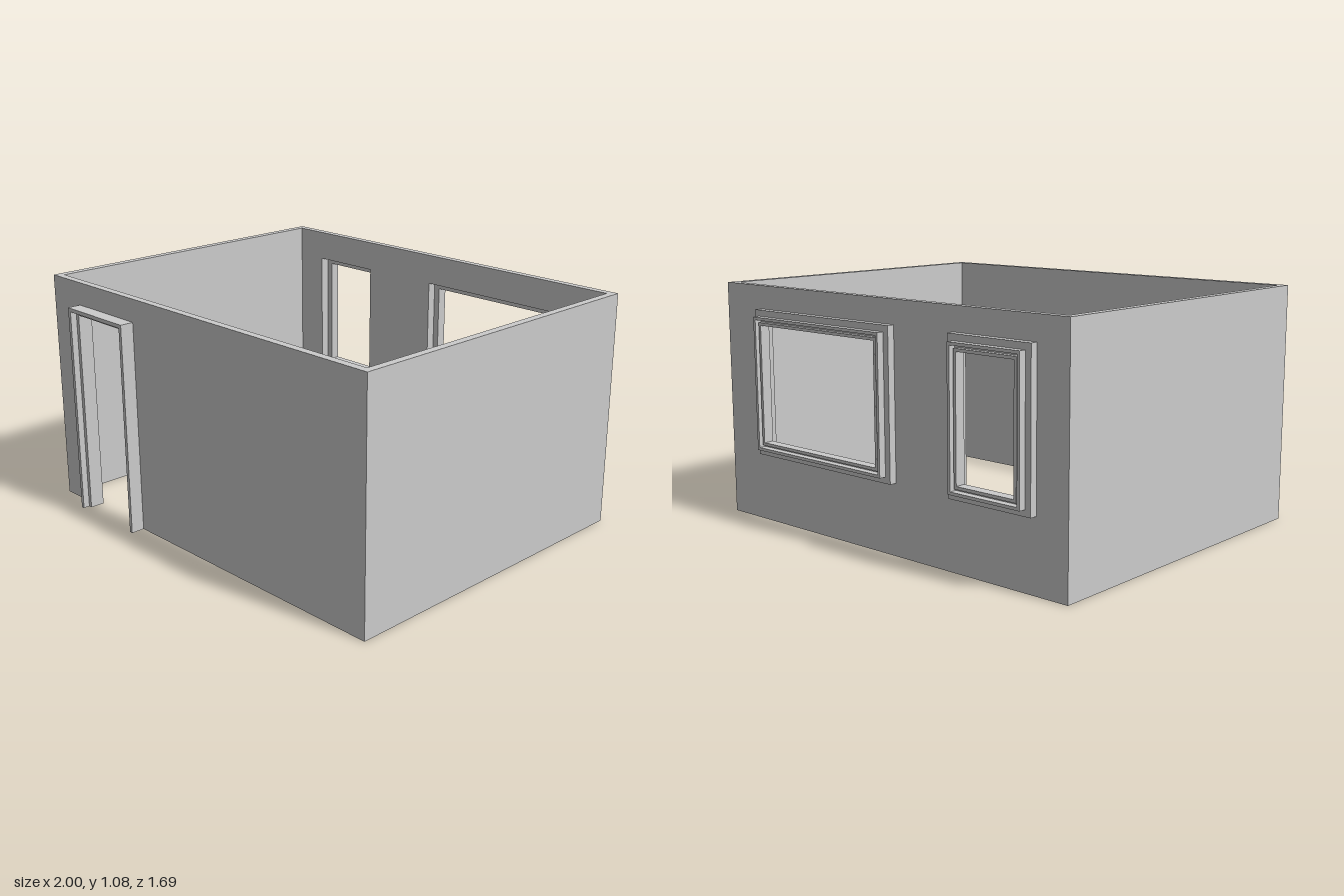
import * as THREE from 'three';

const material = new THREE.MeshStandardMaterial({ color: 0xcccccc, flatShading: true });
const H = 1.08;   // wall height
const T = 0.035;  // wall thickness
const D = 0.782;  // half depth of the room

// Path around a rectangle [x0, x1, y0, y1]
function trace(path, [x0, x1, y0, y1]) {
  path.moveTo(x0, y0);
  path.lineTo(x1, y0);
  path.lineTo(x1, y1);
  path.lineTo(x0, y1);
  path.closePath();
  return path;
}

// Rectangle shrunk by d on all sides
const inset = ([x0, x1, y0, y1], d) => [x0 + d, x1 - d, y0 + d, y1 - d];

// Extrudes a shape between two z planes
function slab(name, shape, z0, z1) {
  const geometry = new THREE.ExtrudeGeometry(shape, { depth: z1 - z0, bevelEnabled: false });
  geometry.translate(0, 0, z0);
  const mesh = new THREE.Mesh(geometry, material);
  mesh.name = name;
  return mesh;
}

// Rectangular ring, set between two insets of an outline
function ring(name, rect, d0, d1, z0, z1) {
  const shape = trace(new THREE.Shape(), inset(rect, d0));
  shape.holes.push(trace(new THREE.Path(), inset(rect, d1)));
  return slab(name, shape, z0, z1);
}

// Portal with open bottom: two posts and a lintel of width w
function portal(name, [x0, x1, top], w, z0, z1) {
  const points = [
    [x0, 0], [x0 + w, 0], [x0 + w, top - w], [x1 - w, top - w],
    [x1 - w, 0], [x1, 0], [x1, top], [x0, top],
  ].map(([x, y]) => new THREE.Vector2(x, y));
  return slab(name, new THREE.Shape(points), z0, z1);
}

// Stepped window surround standing proud of the back wall
function windowFrame(name, rect) {
  const group = new THREE.Group();
  group.name = name;
  group.add(
    ring('outerCasing', rect, 0, 0.035, -D - 0.033, -D),
    ring('sashPlate', rect, 0.034, 0.065, -D - 0.033, -D - 0.008),
    ring('raisedRim', rect, 0.028, 0.041, -D - 0.065, -D - 0.033),
    ring('innerLip', rect, 0.052, 0.065, -D - 0.055, -D - 0.033),
  );
  return group;
}

export function createModel() {
  const model = new THREE.Group();
  model.name = 'room';

  // Side walls
  for (const side of [1, -1]) {
    const wall = new THREE.Mesh(new THREE.BoxGeometry(T, H, 2 * (D - T)), material);
    wall.position.set(side * (1 - T / 2), H / 2, 0);
    wall.name = side > 0 ? 'leftWall' : 'rightWall';
    model.add(wall);
  }

  // Front wall, notched for the doorway
  const front = [
    [-1, 0], [-0.765, 0], [-0.765, 0.94], [-0.43, 0.94],
    [-0.43, 0], [1, 0], [1, H], [-1, H],
  ].map(([x, y]) => new THREE.Vector2(x, y));
  model.add(slab('frontWall', new THREE.Shape(front), D - T, D));

  // Door surround: raised outer edge and a recessed inner step
  const doorFrame = new THREE.Group();
  doorFrame.name = 'doorFrame';
  doorFrame.add(
    portal('doorCasing', [-0.8, -0.4, 0.975], 0.017, D, 0.845),
    portal('doorStop', [-0.783, -0.417, 0.958], 0.018, D, 0.815),
  );
  model.add(doorFrame);

  // Back wall with two windows
  const windows = {
    smallWindow: [-0.845, -0.42, 0.315, 0.975],
    largeWindow: [-0.09, 0.765, 0.315, 0.975],
  };
  const back = trace(new THREE.Shape(), [-1, 1, 0, H]);
  for (const [name, rect] of Object.entries(windows)) {
    back.holes.push(trace(new THREE.Path(), inset(rect, 0.035)));
    model.add(windowFrame(name, rect));
  }
  model.add(slab('backWall', back, -D, -D + T));

  return model;
}
